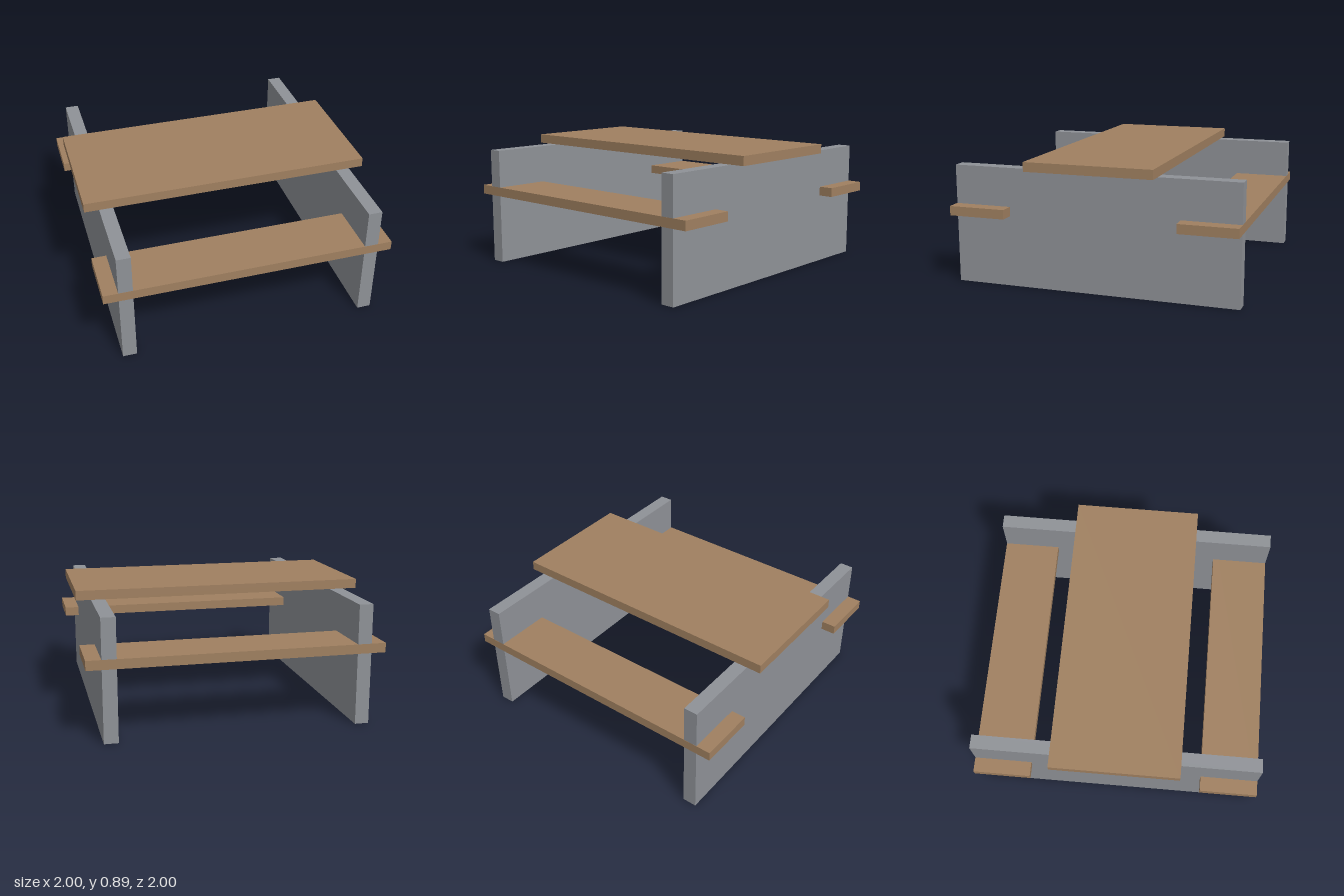
import * as THREE from 'three';

export function createModel() {
  const model = new THREE.Group();
  model.name = 'picnicTable';

  const wood = new THREE.MeshStandardMaterial({ color: 0xa08060 });
  const stone = new THREE.MeshStandardMaterial({ color: 0x8f9297 });

  // Box resting on height y, centred on x and z
  function slab(name, material, [w, h, d], [x, y, z]) {
    const mesh = new THREE.Mesh(new THREE.BoxGeometry(w, h, d), material);
    mesh.name = name;
    mesh.position.set(x, y + h / 2, z);
    model.add(mesh);
  }

  const panelHeight = 0.825;
  const boardThickness = 0.065;

  // Table top lying on the two side panels
  slab('tableTop', wood, [2, boardThickness, 0.892], [0, panelHeight, 0]);

  for (const side of [1, -1]) {
    // Upright panels, a hair shorter than the benches so their ends do not flicker
    slab(side > 0 ? 'leftPanel' : 'rightPanel', stone,
      [0.096, panelHeight, 1.998], [side * 0.851, 0, 0]);

    // Bench boards running through both panels
    slab(side > 0 ? 'frontBench' : 'backBench', wood,
      [2, boardThickness, 0.4], [0, 0.491, side * 0.8]);
  }

  return model;
}
